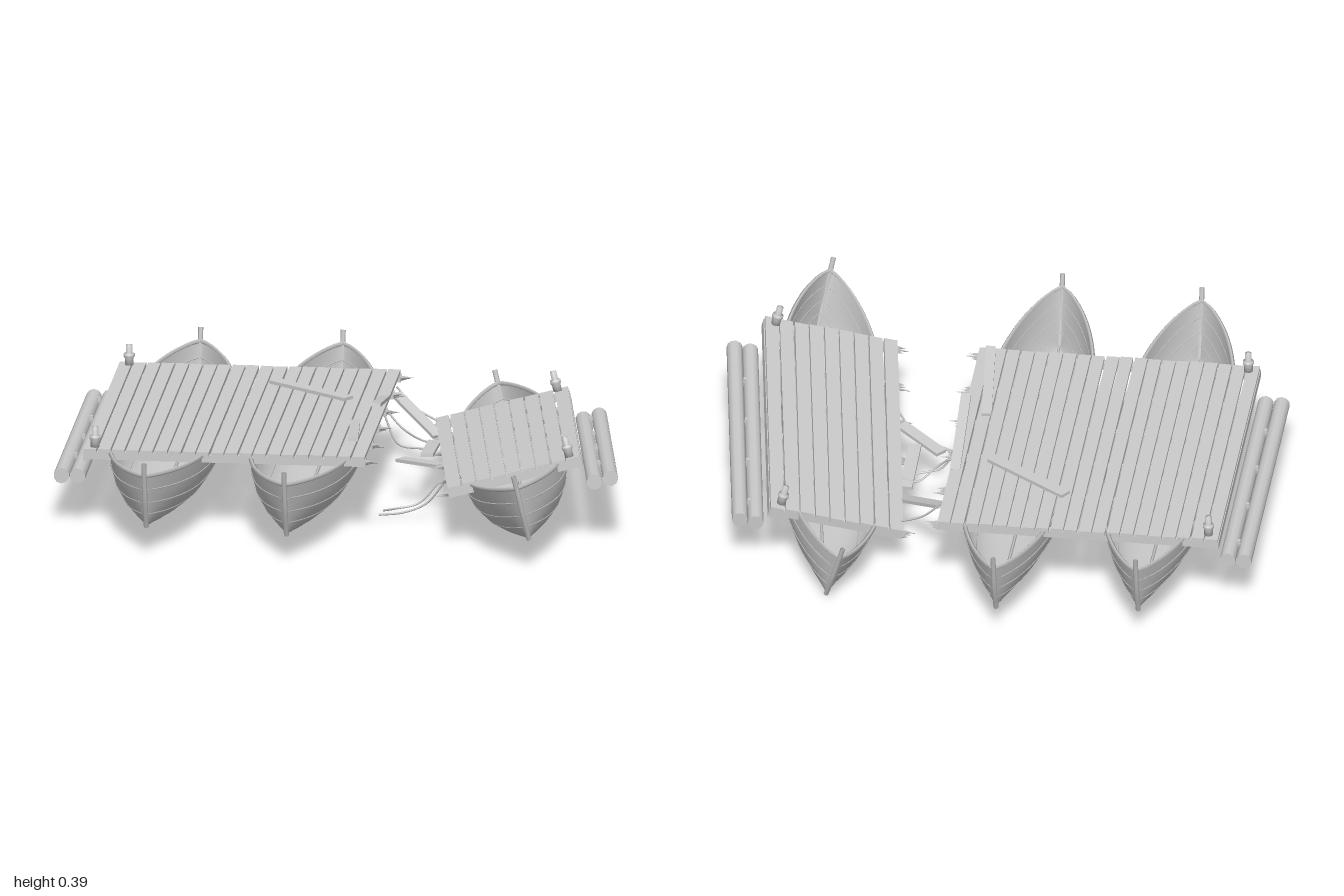
import * as THREE from 'three';

const mat = new THREE.MeshStandardMaterial({ color: 0xcccccc, side: THREE.DoubleSide });
const V = (x, y, z) => new THREE.Vector3(x, y, z);

function add(parent, name, geo, x = 0, y = 0, z = 0) {
  const m = new THREE.Mesh(geo, mat);
  m.name = name;
  m.position.set(x, y, z);
  parent.add(m);
  return m;
}

function tube(parent, name, pts, r, sides = 5, seg = 24) {
  return add(parent, name, new THREE.TubeGeometry(new THREE.CatmullRomCurve3(pts), seg, r, sides));
}

// Point on the hull: t runs stern to bow (-1..1), a runs rim to rim (0..PI)
function hullPoint(t, a, half) {
  const k = Math.abs(t);
  const w = 0.19 * Math.pow(Math.max(0, 1 - k ** 3), 0.8);
  const c = Math.cos(a), v = 1 - Math.pow(Math.max(0, Math.sin(a)), 0.83);
  const low = 0.06 + 0.045 * k ** 2.5, high = 0.262 + 0.042 * t * t;
  return V(w * Math.sign(c) * Math.pow(Math.abs(c), 0.83), low + (high - low) * v, t * half * (0.93 + 0.07 * v));
}

function makeBoat(half) {
  const boat = new THREE.Group();
  boat.name = 'boat';
  const nu = 32, nv = 20, pos = [], idx = [];
  for (let i = 0; i <= nu; i++) {
    const t = Math.sin((i / nu - 0.5) * Math.PI);
    for (let j = 0; j <= nv; j++) pos.push(...hullPoint(t, j / nv * Math.PI, half).toArray());
  }
  for (let i = 0; i < nu; i++) for (let j = 0; j < nv; j++) {
    const a = i * (nv + 1) + j, b = a + nv + 1;
    idx.push(a, b, a + 1, b, b + 1, a + 1);
  }
  const g = new THREE.BufferGeometry();
  g.setAttribute('position', new THREE.Float32BufferAttribute(pos, 3));
  g.setIndex(idx);
  g.computeVertexNormals();
  add(boat, 'hull', g);

  // Lines running from end to end: gunwales, strakes and keel
  const run = (name, a, r) => {
    const pts = [];
    for (let i = 0; i <= 24; i++) pts.push(hullPoint(Math.sin((i / 24 - 0.5) * Math.PI), a, half));
    tube(boat, name, pts, r, 4, 48);
  };
  for (const f of [0, 1]) {
    run('gunwale', f * Math.PI, 0.008);
    for (const s of [0.07, 0.16, 0.26]) run('strake', Math.abs(f - s) * Math.PI, 0.0025);
  }
  run('keel', Math.PI / 2, 0.006);

  // Stem posts
  for (const s of [-1, 1]) {
    tube(boat, 'stemPost', [V(0, 0.1, s * half * 0.925), V(0, 0.2, s * half * 0.97),
      V(0, 0.3, s * half), V(0, 0.35, s * (half + 0.012))], 0.009, 6, 10);
  }
  return boat;
}

// Decked section with its top at y = 0; side is the direction of its intact edge
function makeSection(name, width, count, side) {
  const s = new THREE.Group();
  s.name = name;
  const length = 1.18, pitch = width / count;
  for (let i = 0; i < count; i++) {
    const p = add(s, 'deckPlank', new THREE.BoxGeometry(pitch - 0.006, 0.014, length + 0.006 * Math.sin(i * 5)),
      -width / 2 + (i + 0.5) * pitch, -0.007, 0);
    p.rotation.y = 0.0015 * Math.sin(i * 3);
  }
  // Cross beams with splintered ends on the broken side
  for (let i = 0; i < 6; i++) {
    const z = -0.57 + i * 0.228;
    add(s, 'crossBeam', new THREE.BoxGeometry(width, 0.026, 0.026), 0, -0.026, z);
    for (let k = -1; k <= 1; k++) {
      const len = 0.035 + 0.015 * Math.sin(i * 4 + k * 2);
      const sp = add(s, 'splinter', new THREE.ConeGeometry(0.007, len, 4),
        -side * (width / 2 + len / 2), -0.026 + 0.005 * k, z + k * 0.008);
      sp.rotation.z = side * Math.PI / 2;
    }
  }
  add(s, 'edgeBeam', new THREE.BoxGeometry(0.022, 0.03, length), side * (width / 2 - 0.011), -0.028, 0);

  // Mooring posts
  for (const z of [-0.555, 0.555]) {
    const profile = [[0, 0], [0.016, 0], [0.016, 0.025], [0.02, 0.03], [0.02, 0.04], [0.012, 0.044], [0.012, 0.072], [0, 0.075]];
    add(s, 'mooringPost', new THREE.LatheGeometry(profile.map(p => new THREE.Vector2(...p)), 10), side * (width / 2 - 0.04), 0, z);
  }

  // Pair of fender logs and their ties
  for (const dx of [0.025, 0.082]) {
    const log = add(s, 'fenderLog', new THREE.CylinderGeometry(0.028, 0.028, 1.07, 10), side * (width / 2 + dx), -0.115, 0);
    log.rotation.x = Math.PI / 2;
  }
  for (let i = 0; i < 4; i++) {
    const tie = add(s, 'logTie', new THREE.CylinderGeometry(0.004, 0.004, 0.09, 6), side * (width / 2 + 0.053), -0.112, -0.435 + i * 0.25);
    tie.rotation.z = Math.PI / 2;
    add(s, 'tieKnot', new THREE.BoxGeometry(0.012, 0.045, 0.012), side * (width / 2 + 0.053), -0.112, -0.435 + i * 0.25);
  }
  return s;
}

// Loose plank lying between two points
function loosePlank(parent, a, b, w = 0.045) {
  const p = add(parent, 'loosePlank', new THREE.BoxGeometry(w, 0.012, a.distanceTo(b)));
  p.position.copy(a).lerp(b, 0.5);
  p.lookAt(b);
}

export function createModel() {
  const model = new THREE.Group();
  model.name = 'brokenPontoonBridge';

  // Level section carried by two boats
  const main = makeSection('mainSection', 1.0, 20, -1);
  main.position.set(-0.39, 0.29, -0.065);
  [[-0.24, 0.915, 0], [0.26, 0.955, -0.006]].forEach(([x, half, dy]) => {
    const boat = makeBoat(half);
    boat.position.set(x, -0.29 + dy, 0.065);
    main.add(boat);
  });
  model.add(main);

  // Drifting, tilted section on one boat
  const drift = makeSection('driftingSection', 0.485, 9, 1);
  drift.position.set(0.56, 0.242, 0.03);
  drift.rotation.set(-0.055, 0.145, 0.23, 'YXZ');
  const boat = makeBoat(0.89);
  boat.position.set(0, -0.29, 0.04);
  drift.add(boat);
  model.add(drift);

  // Loose planks on the deck and in the gap
  loosePlank(model, V(-0.32, 0.298, -0.43), V(-0.03, 0.298, -0.22));
  loosePlank(model, V(0.09, 0.285, -0.3), V(0.1, 0.362, 0.09), 0.035);
  loosePlank(model, V(0.025, 0.295, 0.07), V(0.06, 0.335, 0.46), 0.035);
  loosePlank(model, V(0.11, 0.25, -0.48), V(0.28, 0.15, -0.29));
  loosePlank(model, V(0.275, 0.15, -0.22), V(0.275, 0.17, 0.04));
  loosePlank(model, V(0.18, 0.15, 0.03), V(0.34, 0.17, 0.17));

  // Snapped ropes
  [
    [V(0.11, 0.27, -0.5), V(0.18, 0.2, -0.48), V(0.26, 0.16, -0.46)],
    [V(0.11, 0.27, -0.18), V(0.17, 0.21, -0.16), V(0.24, 0.16, -0.19), V(0.3, 0.16, -0.17)],
    [V(0.11, 0.27, -0.11), V(0.16, 0.17, -0.1), V(0.25, 0.15, -0.12)],
    [V(0.14, 0.008, 0.2), V(0.19, 0.03, 0.25), V(0.27, 0.05, 0.24), V(0.35, 0.14, 0.23)],
    [V(0.13, 0.008, 0.26), V(0.22, 0.025, 0.28), V(0.3, 0.06, 0.28), V(0.37, 0.15, 0.3)],
  ].forEach(p => tube(model, 'rope', p, 0.004));

  return model;
}
